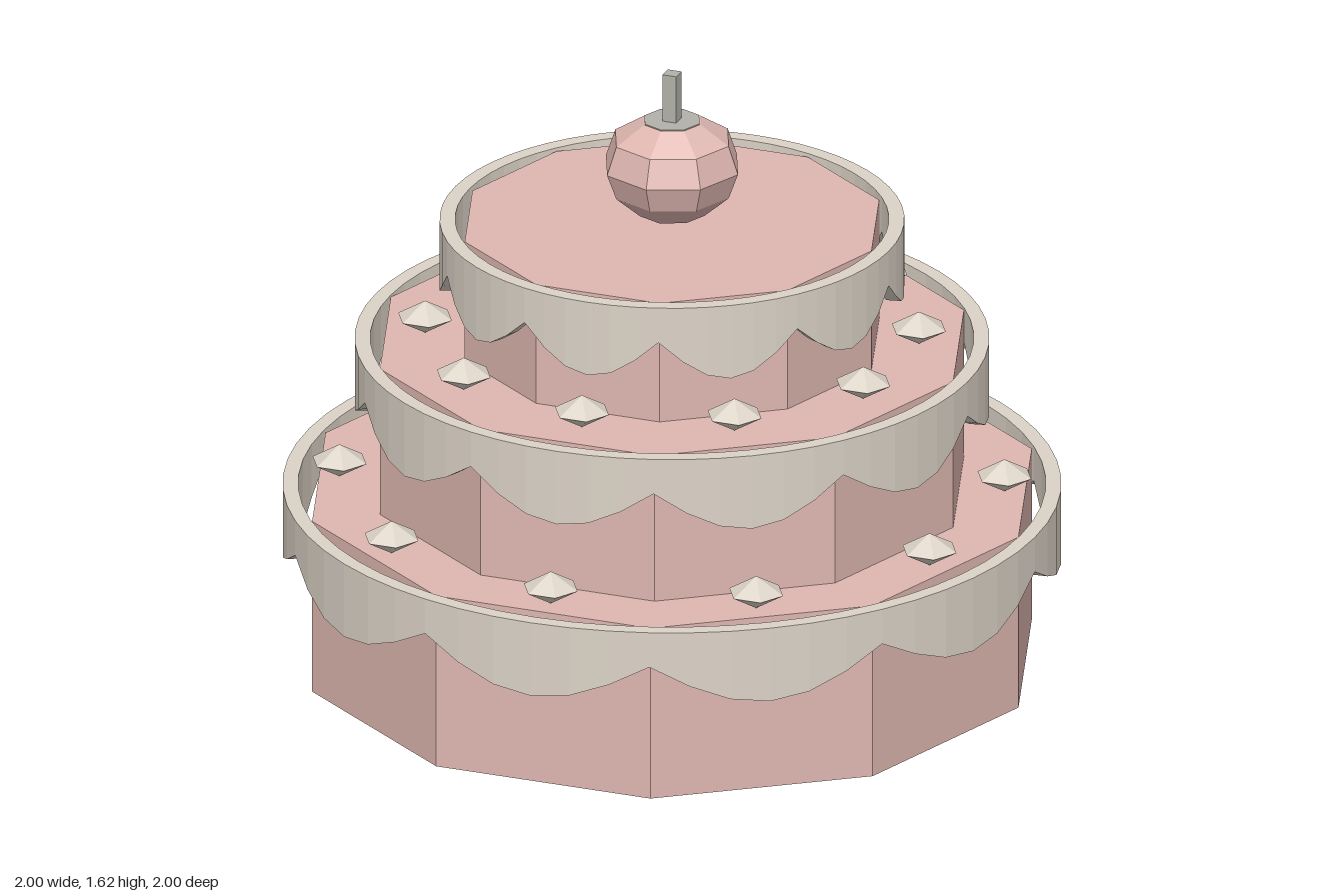
import * as THREE from 'three';

const sponge = new THREE.MeshStandardMaterial({ name: 'pink sponge', color: 0xdfb7b1 });
const icing = new THREE.MeshStandardMaterial({ name: 'cream icing', color: 0xdcd3c7 });
const stalk = new THREE.MeshStandardMaterial({ name: 'grey stalk', color: 0xb2b2a9 });

// Faceted look: every face gets its own normal
function flat(geometry) {
  const g = geometry.index ? geometry.toNonIndexed() : geometry;
  g.computeVertexNormals();
  return g;
}

function add(parent, name, geometry, material, x = 0, y = 0, z = 0) {
  const mesh = new THREE.Mesh(flat(geometry), material);
  mesh.name = name;
  mesh.position.set(x, y, z);
  parent.add(mesh);
  return mesh;
}

const lathe = (points, sides) =>
  new THREE.LatheGeometry(points.map(([r, y]) => new THREE.Vector2(r, y)), sides);

// Thin ring whose lower rim hangs in ten scallops
function icingRing(radius, height, cusp) {
  const inner = radius - 0.04;
  const g = lathe([[radius, 0], [radius, height], [inner, height], [inner, 0], [radius, 0]], 60);
  const p = g.attributes.position;
  for (let i = 0; i < p.count; i++) {
    if (p.getY(i) > height / 2) continue;
    const angle = Math.atan2(p.getX(i), p.getZ(i));
    p.setY(i, cusp * (1 - Math.abs(Math.cos(5 * angle))));
  }
  return g;
}

export function createModel() {
  const cake = new THREE.Group();
  cake.name = 'tieredCake';

  // Tiers: ten-sided sponge, scalloped icing, ring of icing dots
  const tiers = [
    { name: 'bottomTier', r: 0.955, y0: 0, top: 0.48, ring: 1.0, dots: 0.855 },
    { name: 'middleTier', r: 0.775, y0: 0.474, top: 0.885, ring: 0.815, dots: 0.635 },
    { name: 'topTier', r: 0.55, y0: 0.879, top: 1.215, ring: 0.597, dots: 0 },
  ];
  for (const t of tiers) {
    const tier = new THREE.Group();
    tier.name = t.name;
    cake.add(tier);

    const h = t.top - 0.006 - t.y0;
    const body = new THREE.CylinderGeometry(t.r, t.r, h, 10).rotateY(Math.PI / 2);
    add(tier, 'sponge', body, sponge, 0, t.y0 + h / 2, 0);
    add(tier, 'scallopedIcing', icingRing(t.ring, 0.203, 0.107), icing, 0, t.top - 0.203, 0);

    for (let i = 0; t.dots && i < 10; i++) {
      const a = (i * Math.PI) / 5;
      const dot = new THREE.SphereGeometry(0.074, 6, 2).scale(1, 0.6, 1);
      add(tier, 'icingDot', dot, icing, t.dots * Math.sin(a), t.top + 0.042, t.dots * Math.cos(a));
    }
  }

  // Cherry floating above the top tier
  const cherry = new THREE.Group();
  cherry.name = 'cherry';
  cherry.position.y = 1.365;
  cake.add(cherry);
  const fruit = [[0, -0.13], [0.09, -0.128], [0.156, -0.07], [0.182, 0], [0.156, 0.075], [0.08, 0.123], [0, 0.123]];
  add(cherry, 'fruit', lathe(fruit, 8), sponge);
  add(cherry, 'stalkBase', new THREE.CylinderGeometry(0.076, 0.076, 0.006, 8), stalk, 0, 0.123, 0);
  add(cherry, 'stalk', new THREE.BoxGeometry(0.038, 0.14, 0.038), stalk, 0, 0.185, 0);

  return cake;
}
